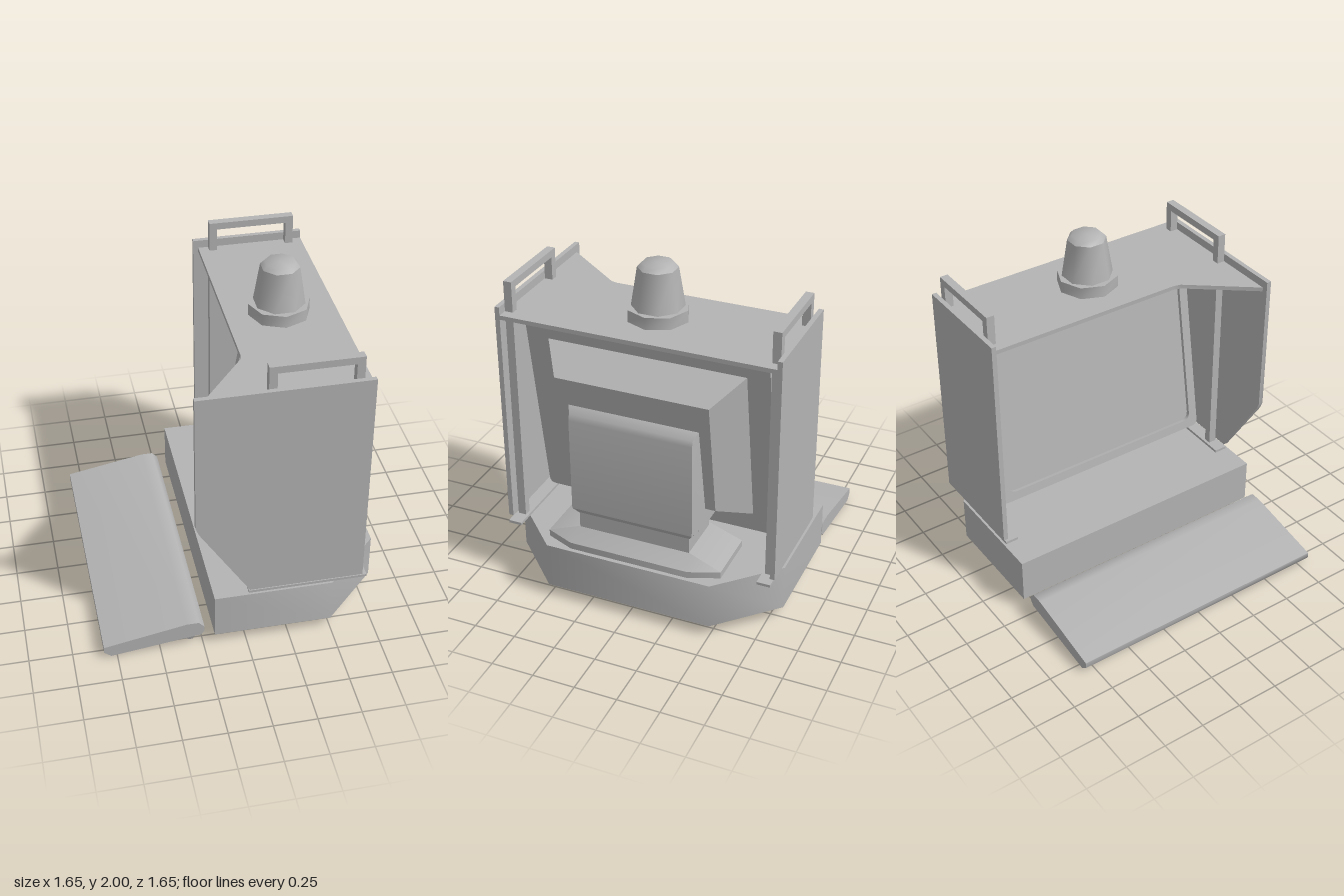
import * as THREE from 'three';
import { toCreasedNormals } from 'three/addons/utils/BufferGeometryUtils.js';
import { ConvexGeometry } from 'three/addons/geometries/ConvexGeometry.js';

const grey = new THREE.MeshStandardMaterial({ color: 0xb3b3b3 });
grey.name = 'grey';

function add(parent, name, geometry, x = 0, y = 0, z = 0) {
  const mesh = new THREE.Mesh(geometry, grey);
  mesh.name = name;
  mesh.position.set(x, y, z);
  parent.add(mesh);
  return mesh;
}

const shapeOf = (pts) => new THREE.Shape(pts.map(([a, b]) => new THREE.Vector2(a, b)));
const flat = (shape, depth) => new THREE.ExtrudeGeometry(shape, { depth, bevelEnabled: false, curveSegments: 5 });

// Side profile (x, y) extruded from z0 to z1
const sideExtrude = (pts, z0, z1) => toCreasedNormals(flat(shapeOf(pts), z1 - z0).translate(0, 0, z0), 0.9);

// Floor plan (x, z) extruded from y0 to y1
const planExtrude = (pts, y0, y1) =>
  toCreasedNormals(flat(shapeOf(pts.map(([x, z]) => [x, -z])), y1 - y0).rotateX(-Math.PI / 2).translate(0, y0, 0), 0.9);

// Convex solid from points mirrored in z
const mirroredHull = (pts) =>
  new ConvexGeometry(pts.flatMap(([x, y, z]) => [new THREE.Vector3(x, y, z), new THREE.Vector3(x, y, -z)]));

// Foot tapering towards the floor
function foot(x0, x1, z0, z1, top, inset) {
  const pts = [];
  for (const [y, i] of [[top, 0], [0, inset]])
    for (const x of [x0 + i, x1 - i])
      for (const z of [z0 + i, z1 - i]) pts.push(new THREE.Vector3(x, y, z));
  return new ConvexGeometry(pts);
}

function roundedRect(Type, hw, y0, y1, r) {
  const s = new Type();
  s.moveTo(-hw + r, y0);
  s.lineTo(hw - r, y0);
  s.quadraticCurveTo(hw, y0, hw, y0 + r);
  s.lineTo(hw, y1 - r);
  s.quadraticCurveTo(hw, y1, hw - r, y1);
  s.lineTo(-hw + r, y1);
  s.quadraticCurveTo(-hw, y1, -hw, y1 - r);
  s.lineTo(-hw, y0 + r);
  s.quadraticCurveTo(-hw, y0, -hw + r, y0);
  return s;
}

function buildMonitor() {
  const g = new THREE.Group();
  g.name = 'monitor';
  g.position.set(0.375, 0.56, 0);
  g.rotation.z = -0.16;
  const y0 = -0.117, y1 = 1.059, rim = 0.055;
  const toBack = (geo, x) => toCreasedNormals(geo.rotateY(Math.PI / 2).translate(x, 0, 0), 0.6);

  // Bezel body with a raised rim around the screen
  add(g, 'bezelBody', toBack(flat(roundedRect(THREE.Shape, 0.715, y0, y1, 0.04), 0.13), -0.13));
  const rimShape = roundedRect(THREE.Shape, 0.715, y0, y1, 0.04);
  rimShape.holes.push(roundedRect(THREE.Path, 0.715 - rim, y0 + rim, y1 - rim, 0.05));
  add(g, 'bezelRim', toBack(flat(rimShape, 0.03), -0.16));
  add(g, 'screen', toBack(flat(roundedRect(THREE.Shape, 0.715 - rim, y0 + rim, y1 - rim, 0.05), 0.008), -0.138));

  // Tapered rear housing
  add(g, 'rearHousing', mirroredHull([
    [-0.01, 0, 0.59], [-0.01, 0.972, 0.59], [0.217, 0.177, 0.45], [0.217, 0.886, 0.45],
  ]));
  return g;
}

function buildStand() {
  const g = new THREE.Group();
  g.name = 'stand';
  const foot = [];
  for (const y of [0.34, 0.385])
    foot.push([0.335, y, 0.36], [0.4, y, 0.53], [0.73, y, 0.53], [0.8, y, 0.36]);
  foot.push([0.4, 0.455, 0.34], [0.72, 0.455, 0.34]);
  add(g, 'standFoot', toCreasedNormals(mirroredHull(foot), 0.45));
  add(g, 'standNeck', new THREE.BoxGeometry(0.3, 0.14, 0.67), 0.57, 0.505, 0);
  add(g, 'standBack', toCreasedNormals(mirroredHull([
    [0.45, 0.55, 0.34], [0.72, 0.55, 0.34],
    [0.45, 0.59, 0.39], [0.61, 0.59, 0.39], [0.75, 0.59, 0.365],
    [0.6, 1.235, 0.39], [0.7, 1.235, 0.385],
    [0.715, 1.225, 0.365], [0.74, 1.195, 0.365], [0.75, 1.16, 0.365],
  ]), 0.5));
  return g;
}

function buildBeacon() {
  const g = new THREE.Group();
  g.name = 'beacon';
  g.position.set(0.35, 0, 0);
  const drum = (name, r1, r0, y0, y1, turn) =>
    add(g, name, toCreasedNormals(new THREE.CylinderGeometry(r1, r0, y1 - y0, 8).rotateY(turn), 0.85), 0, (y0 + y1) / 2, 0);
  drum('beaconBase', 0.177, 0.177, 1.68, 1.75, 0);
  drum('beaconLamp', 0.112, 0.148, 1.75, 1.975, Math.PI / 8);
  drum('beaconCap', 0.088, 0.112, 1.975, 2.0, Math.PI / 8);
  return g;
}

export function createModel() {
  const model = new THREE.Group();
  model.name = 'workstation';

  // Plinth with two clipped corners
  add(model, 'base', planExtrude([
    [-0.185, 0.825], [0.5, 0.825], [0.825, 0.5], [0.825, -0.5], [0.5, -0.825], [-0.185, -0.825],
  ], 0.07, 0.345));

  // Keyboard shelf
  add(model, 'keyboard', sideExtrude([
    [-0.825, 0.075], [-0.825, 0.038], [-0.785, 0.005], [-0.265, 0.072], [-0.242, 0.1],
    [-0.242, 0.13], [-0.275, 0.165], [-0.345, 0.165],
  ], -0.81, 0.81));

  // Side panels: the left one is wide with a cut lower corner
  add(model, 'leftPanel', sideExtrude([
    [0.675, 0.38], [0.675, 1.728], [-0.29, 1.728], [-0.29, 0.88], [-0.272, 0.835], [0.018, 0.38],
  ], 0.797, 0.825));
  add(model, 'rightPanel', new THREE.BoxGeometry(0.66, 1.348, 0.028), 0.345, 1.054, -0.811);

  // Roof widening towards the left panel
  add(model, 'roof', planExtrude([
    [0.675, -0.797], [0.675, 0.797], [-0.255, 0.797], [0.035, 0.43], [0.045, 0.39], [0.045, -0.797],
  ], 1.655, 1.68));

  for (const s of [1, -1]) {
    const side = s > 0 ? 'left' : 'right';
    // Posts joined above the roof into a handle
    for (const x of [0.1275, 0.5925])
      add(model, side + 'Post', new THREE.BoxGeometry(0.045, 1.5, 0.048), x, 1.11, s * 0.772);
    add(model, side + 'Handle', new THREE.BoxGeometry(0.42, 0.042, 0.048), 0.36, 1.839, s * 0.772);
    add(model, side + 'FootRail', new THREE.BoxGeometry(0.69, 0.016, 0.08), 0.36, 0.353, s * 0.771);
    // Feet of the plinth and of the keyboard
    const z0 = s > 0 ? 0.63 : -0.785;
    add(model, side + 'BaseFoot', foot(-0.1, 0.51, z0, z0 + 0.155, 0.072, 0.04));
    add(model, side + 'KeyboardFoot', foot(-0.355, -0.28, z0, z0 + 0.155, 0.08, 0.023));
  }

  model.add(buildMonitor(), buildStand(), buildBeacon());
  return model;
}
